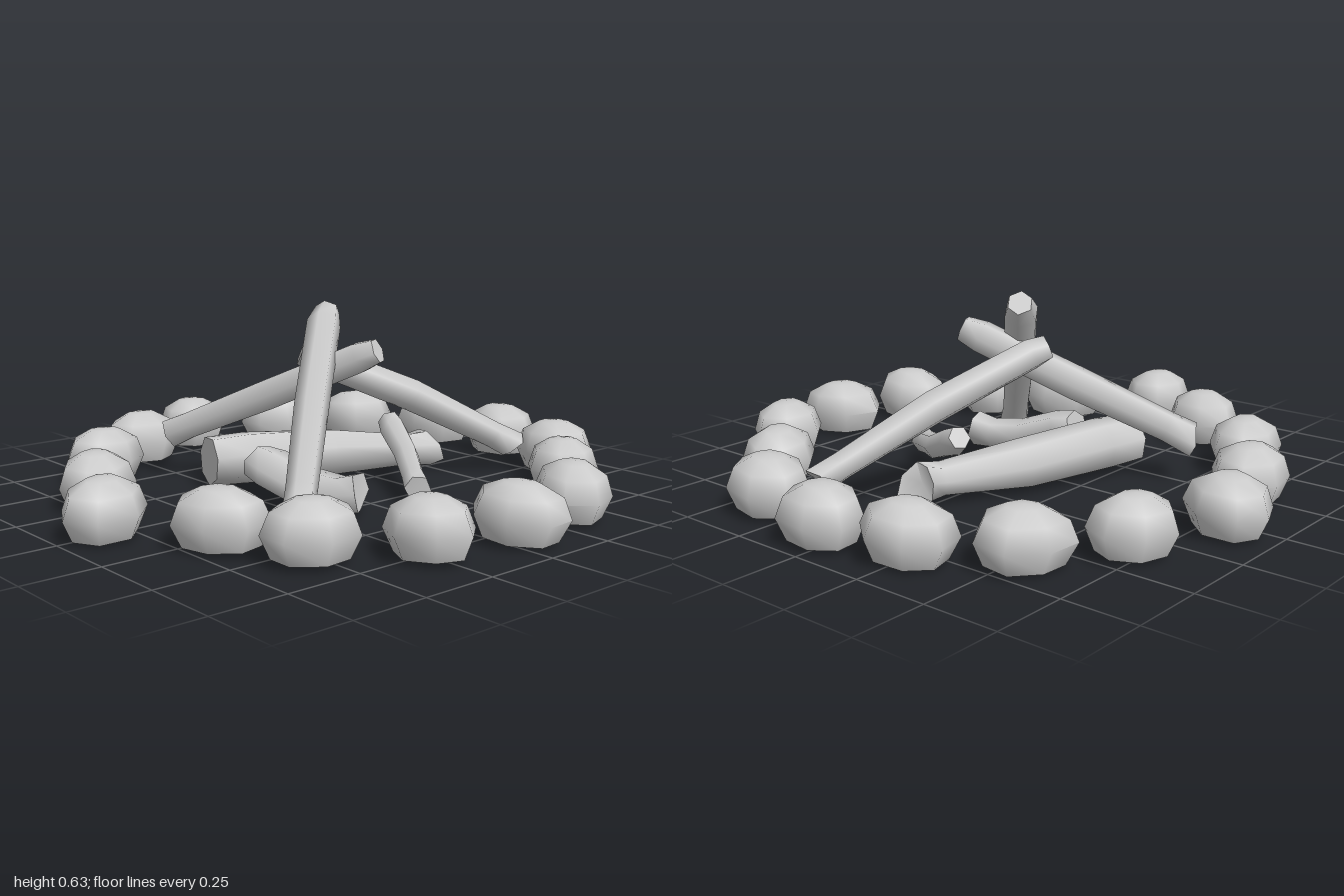
import * as THREE from 'three';
import { toCreasedNormals } from 'three/addons/utils/BufferGeometryUtils.js';

const material = new THREE.MeshStandardMaterial({ color: 0xcccccc });
const shellMaterial = new THREE.MeshStandardMaterial({ color: 0xcccccc, side: THREE.DoubleSide });
const UP = new THREE.Vector3(0, 1, 0);

// Small repeatable noise in -1..1
const noise = (i, j) => {
  const s = Math.sin(i * 12.9898 + j * 78.233) * 43758.5453;
  return 2 * (s - Math.floor(s)) - 1;
};

function addMesh(group, geometry, name, surface = material) {
  const mesh = new THREE.Mesh(toCreasedNormals(geometry, 1.3), surface);
  mesh.name = name;
  group.add(mesh);
  return mesh;
}

// Rounded seven-sided stone shell, open underneath, long along its own x
function stoneGeometry(seed) {
  const profile = [[0.78, 0.03], [1, 0.1], [0.82, 0.165], [0.38, 0.198], [0, 0.203]]
    .map(([r, y]) => new THREE.Vector2(r, y));
  const sides = 7;
  const geometry = new THREE.LatheGeometry(profile, sides);
  const pos = geometry.attributes.position;
  for (let i = 0; i < pos.count; i++) {
    const side = Math.floor(i / profile.length) % sides;
    const k = 1 + 0.07 * noise(seed, side);
    pos.setXYZ(i, pos.getX(i) * 0.15 * k, pos.getY(i), pos.getZ(i) * 0.125 * k);
  }
  return geometry;
}

// Log swept through stations [x, y, z, radius], low end first.
// spur stretches one side of the low end into a broken point; flat squashes the section.
function logGeometry(stations, spur, spurAngle, seed, sides = 6, flat = 1) {
  const last = stations.length - 1;
  const points = stations.map(([x, y, z]) => new THREE.Vector3(x, y, z));
  const frames = points.map((p, i) => {
    const dir = points[Math.min(i + 1, last)].clone().sub(points[Math.max(i - 1, 0)]).normalize();
    return new THREE.Quaternion().setFromUnitVectors(UP, dir);
  });
  const geometry = new THREE.CylinderGeometry(1, 1, 1, sides, last);
  const pos = geometry.attributes.position;
  const v = new THREE.Vector3();
  for (let i = 0; i < pos.count; i++) {
    v.fromBufferAttribute(pos, i);
    const ring = Math.round((v.y + 0.5) * last);
    const angle = Math.atan2(v.z, v.x);
    const side = (Math.round(angle / (Math.PI * 2) * sides) + sides) % sides;
    const r = Math.hypot(v.x, v.z);
    const k = stations[ring][3] * (1 + 0.06 * noise(seed, side));
    const point = ring === 0 ? spur * r * Math.max(0, Math.cos(angle - spurAngle)) : 0;
    v.set(v.x * k, -point, v.z * k * flat).applyQuaternion(frames[ring]).add(points[ring]);
    pos.setXYZ(i, v.x, v.y, v.z);
  }
  return geometry;
}

export function createModel() {
  const model = new THREE.Group();
  model.name = 'campfire';

  // Stone ring: x, z and direction of the long axis in degrees
  const ring = new THREE.Group();
  ring.name = 'stoneRing';
  [
    [0.06, -0.84, -72], [0.385, -0.72, 10], [0.65, -0.535, 42], [0.82, -0.265, 85],
    [0.875, 0.02, 100], [0.80, 0.35, 98], [0.59, 0.555, -45], [0.355, 0.78, -38],
    [0.045, 0.835, 68], [-0.26, 0.785, 95], [-0.535, 0.585, 14], [-0.655, 0.33, 60],
    [-0.85, 0.01, -20], [-0.70, -0.285, -58], [-0.495, -0.575, -15], [-0.235, -0.74, -8],
  ].forEach(([x, z, degrees], i) => {
    const stone = addMesh(ring, stoneGeometry(i + 1), 'stone' + (i + 1), shellMaterial);
    stone.position.set(x, 0, z);
    stone.rotation.set(0.05 * noise(i, 30), -THREE.MathUtils.degToRad(degrees), 0.05 * noise(i, 31));
  });
  model.add(ring);

  const logs = new THREE.Group();
  logs.name = 'logs';

  // Three long logs leaning together
  addMesh(logs, logGeometry([
    [-0.40, 0.06, 0.37, 0.056], [-0.34, 0.135, 0.31, 0.05], [-0.17, 0.345, 0.155, 0.057],
    [0.035, 0.575, -0.025, 0.058], [0.078, 0.615, -0.055, 0.042],
  ], 0.05, 2, 31), 'frontLeaningLog');
  addMesh(logs, logGeometry([
    [-0.265, 0.165, -0.495, 0.056], [-0.23, 0.2, -0.43, 0.051], [-0.09, 0.33, -0.16, 0.058],
    [0.06, 0.475, 0.13, 0.056], [0.088, 0.5, 0.185, 0.044],
  ], 0.03, 0, 32), 'backLeaningLog');
  addMesh(logs, logGeometry([
    [0.69, 0.115, 0.235, 0.052], [0.63, 0.15, 0.205, 0.048], [0.36, 0.305, 0.065, 0.058],
    [0.06, 0.445, -0.085, 0.054], [0.015, 0.467, -0.12, 0.044],
  ], 0.03, 1, 33), 'sideLeaningLog');

  // Thick log lying on the ground with a splintered end
  addMesh(logs, logGeometry([
    [0.475, 0.095, 0.01, 0.068], [0.41, 0.095, -0.005, 0.056], [0.15, 0.105, -0.125, 0.083],
    [-0.15, 0.115, -0.212, 0.09], [-0.285, 0.115, -0.245, 0.085],
  ], 0.06, 2.5, 34, 7), 'groundLog');

  // Thin bent branch
  addMesh(logs, logGeometry([
    [0.095, 0.075, 0.37, 0.044], [0.14, 0.09, 0.305, 0.039], [0.24, 0.125, 0.17, 0.043],
    [0.305, 0.18, 0.04, 0.048], [0.325, 0.21, -0.01, 0.038],
  ], 0.02, 0, 35), 'branch');

  // Short bent piece of wood, flatter than the logs
  addMesh(logs, logGeometry([
    [-0.115, 0.085, 0.305, 0.085], [-0.135, 0.075, 0.24, 0.072], [-0.17, 0.08, 0.13, 0.082],
    [-0.21, 0.125, 0.0, 0.082], [-0.222, 0.14, -0.06, 0.072],
  ], 0.05, 3, 36, 6, 0.7), 'shortWoodPiece');

  model.add(logs);
  return model;
}
